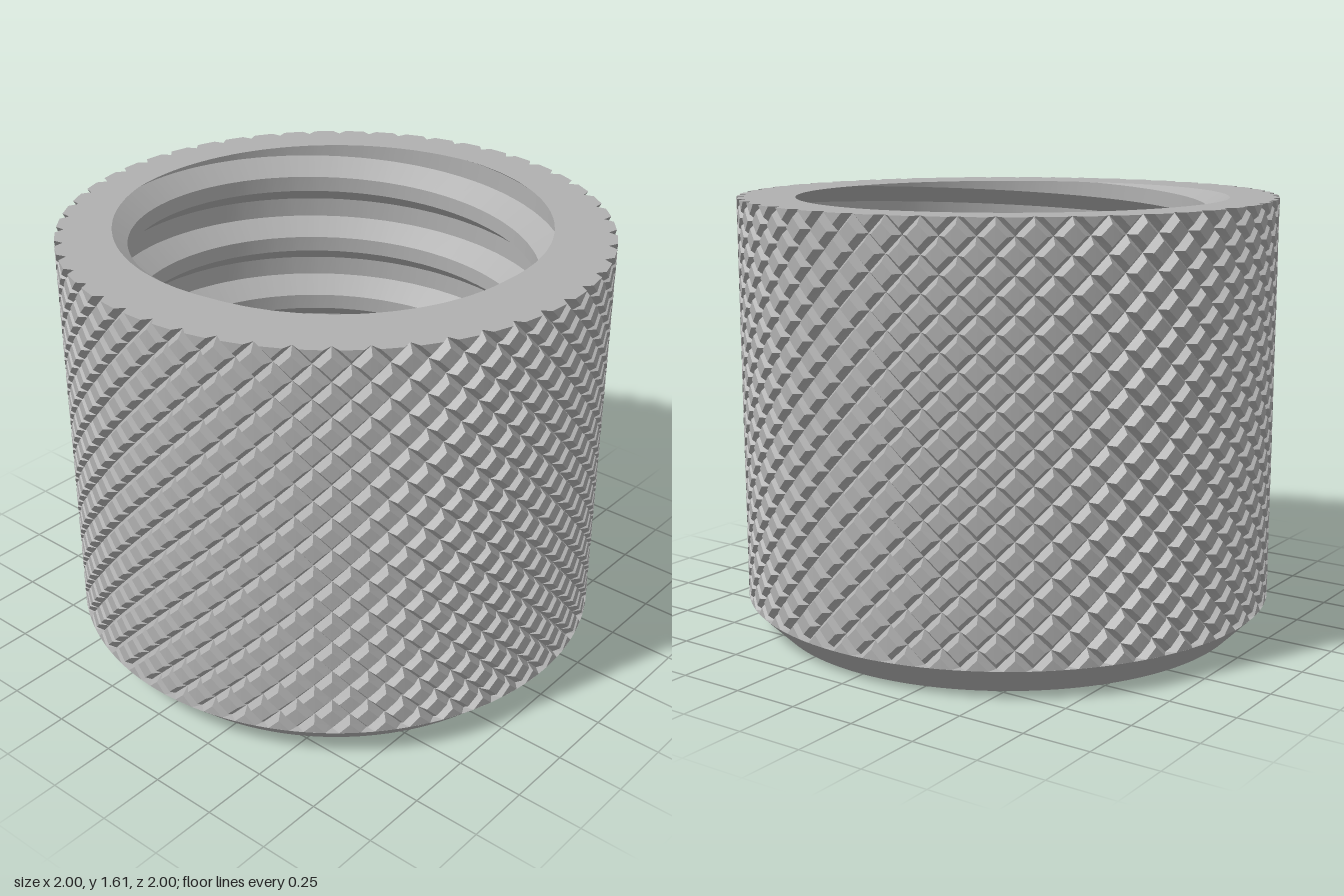
import * as THREE from 'three';
import { toCreasedNormals } from 'three/addons/utils/BufferGeometryUtils.js';

const N = 50, ROWS = 12;              // diamonds around and up the grip
const BOTTOM = 0.11, TOP = 1.61, FLOOR = 0.25;
const GROOVE = 0.2, DEPTH = 0.03;     // groove half-width (share of a diamond) and depth
const STEPS = [0, GROOVE, 1 - GROOVE, 1];
const MINOR = 0.745, MAJOR = 0.83, PITCH = 0.26;
const THREAD = [[0, MINOR], [0.25, MAJOR], [0.54, MAJOR], [0.77, MINOR], [1, MINOR]];

const polar = (r, a, y) => new THREE.Vector3(r * Math.cos(a), y, -r * Math.sin(a));

// Non-indexed geometry from a list of triangles, leaving out collapsed ones
function fromTriangles(tris) {
  const pts = [];
  for (const [a, b, c] of tris) {
    const area = b.clone().sub(a).cross(c.clone().sub(a)).length();
    if (area > 1e-8) pts.push(a, b, c);
  }
  const g = new THREE.BufferGeometry().setFromPoints(pts);
  g.computeVertexNormals();
  return g;
}

// Diamond knurling: crossing V grooves between flat-topped diamonds
function knurlGeometry() {
  const h = (TOP - BOTTOM) / ROWS, tris = [];
  const cut = (f) => (f === 0 || f === 1 ? DEPTH : 0);
  for (let m = 0; m <= 2 * ROWS; m++) for (let c = 0; c < N; c++) {
    const i = c + Math.ceil(m / 2), j = i - m;
    const point = (iq, ip) => {
      const p = i + STEPS[ip], q = j + STEPS[iq];
      const r = 1 - Math.max(cut(STEPS[ip]), cut(STEPS[iq]));
      return polar(r, (p + q) * Math.PI / N, BOTTOM + (p - q) * h / 2);
    };
    for (let q = 0; q < 3; q++) for (let p = 0; p < 3; p++) {
      const A = point(q, p), B = point(q + 1, p), C = point(q + 1, p + 1), D = point(q, p + 1);
      const pair = Math.abs(p - q) === 2 ? [[A, B, D], [B, C, D]] : [[A, B, C], [A, C, D]];
      for (const t of pair) {
        const y = (t[0].y + t[1].y + t[2].y) / 3;
        if (y > BOTTOM && y < TOP) tris.push(t);
      }
    }
  }
  const g = fromTriangles(tris);
  // Round the diamond tops with radial normals
  const pos = g.attributes.position, nor = g.attributes.normal;
  const radius = (k) => Math.hypot(pos.getX(k), pos.getZ(k));
  for (let k = 0; k < pos.count; k += 3) {
    if (Math.min(radius(k), radius(k + 1), radius(k + 2)) < 0.999) continue;
    for (let v = k; v < k + 3; v++) nor.setXYZ(v, pos.getX(v), 0, pos.getZ(v));
  }
  return g;
}

// Radius of the bore at an angle and height: a right-handed trapezoid thread
function boreRadius(a, y) {
  let t = (TOP - y) / PITCH + a / (2 * Math.PI);
  t -= Math.floor(t);
  for (let k = 1; k < THREAD.length; k++) {
    const [t0, r0] = THREAD[k - 1], [t1, r1] = THREAD[k];
    if (t <= t1) return r0 + (r1 - r0) * (t - t0) / (t1 - t0);
  }
  return MINOR;
}

// Angles shared by the rim and the bore, with the rim's notched outer radius
const columns = [];
for (let c = 0; c <= N; c++) for (let s = 0; s < 3; s++) {
  if (c === N && s > 0) break;
  columns.push({ a: 2 * Math.PI * (c + STEPS[s]) / N, outer: s === 0 ? 1 - DEPTH : 1 });
}

function boreGeometry() {
  const turns = Math.ceil((TOP - FLOOR) / PITCH) + 1;
  const loops = columns.map(({ a }) => {
    const line = [];
    for (let k = 0; k <= turns; k++) for (const [t] of THREAD.slice(0, 4)) {
      const raw = TOP - PITCH * (k + t - a / (2 * Math.PI));
      const y = Math.min(TOP, Math.max(FLOOR, raw));
      line.push(polar(boreRadius(a, y), a, y));
    }
    return line;
  });
  const tris = [];
  for (let c = 1; c < loops.length; c++) for (let k = 1; k < loops[c].length; k++) {
    const A = loops[c - 1][k - 1], B = loops[c][k - 1], C = loops[c][k], D = loops[c - 1][k];
    tris.push([A, B, C], [A, C, D]);
  }
  // Close the sliver between the top turn and the rim
  for (let c = 1; c < loops.length; c++) {
    const rim = [columns[c - 1].a, columns[c].a].map((a) => polar(boreRadius(a, TOP), a, TOP));
    tris.push([rim[0], rim[1], loops[c][0]], [rim[0], loops[c][0], loops[c - 1][0]]);
  }
  return toCreasedNormals(fromTriangles(tris), 0.4);
}

function rimGeometry() {
  const tris = [];
  for (let c = 1; c < columns.length; c++) {
    const [p, q] = [columns[c - 1], columns[c]];
    const A = polar(boreRadius(p.a, TOP), p.a, TOP), B = polar(p.outer, p.a, TOP);
    const C = polar(q.outer, q.a, TOP), D = polar(boreRadius(q.a, TOP), q.a, TOP);
    tris.push([A, B, C], [A, C, D]);
  }
  return fromTriangles(tris);
}

export function createModel() {
  const group = new THREE.Group();
  group.name = 'knurledCap';
  const metal = new THREE.MeshStandardMaterial({ color: 0xb0b0b0 });
  metal.name = 'grey metal';
  const add = (name, geometry) => {
    const mesh = new THREE.Mesh(geometry, metal);
    mesh.name = name;
    group.add(mesh);
    return mesh;
  };

  add('knurledGrip', knurlGeometry());
  add('topRim', rimGeometry());
  add('threadedBore', boreGeometry());
  add('boreFloor', new THREE.CircleGeometry(MAJOR, 96).rotateX(-Math.PI / 2)).position.y = FLOOR;

  // Closed base with a chamfer and a small shelf under the grooves
  const profile = [[0, 0], [0.89, 0], [1, BOTTOM], [0.95, BOTTOM]].map(([x, y]) => new THREE.Vector2(x, y));
  add('chamferedBase', toCreasedNormals(new THREE.LatheGeometry(profile, 150), 0.4));
  return group;
}
